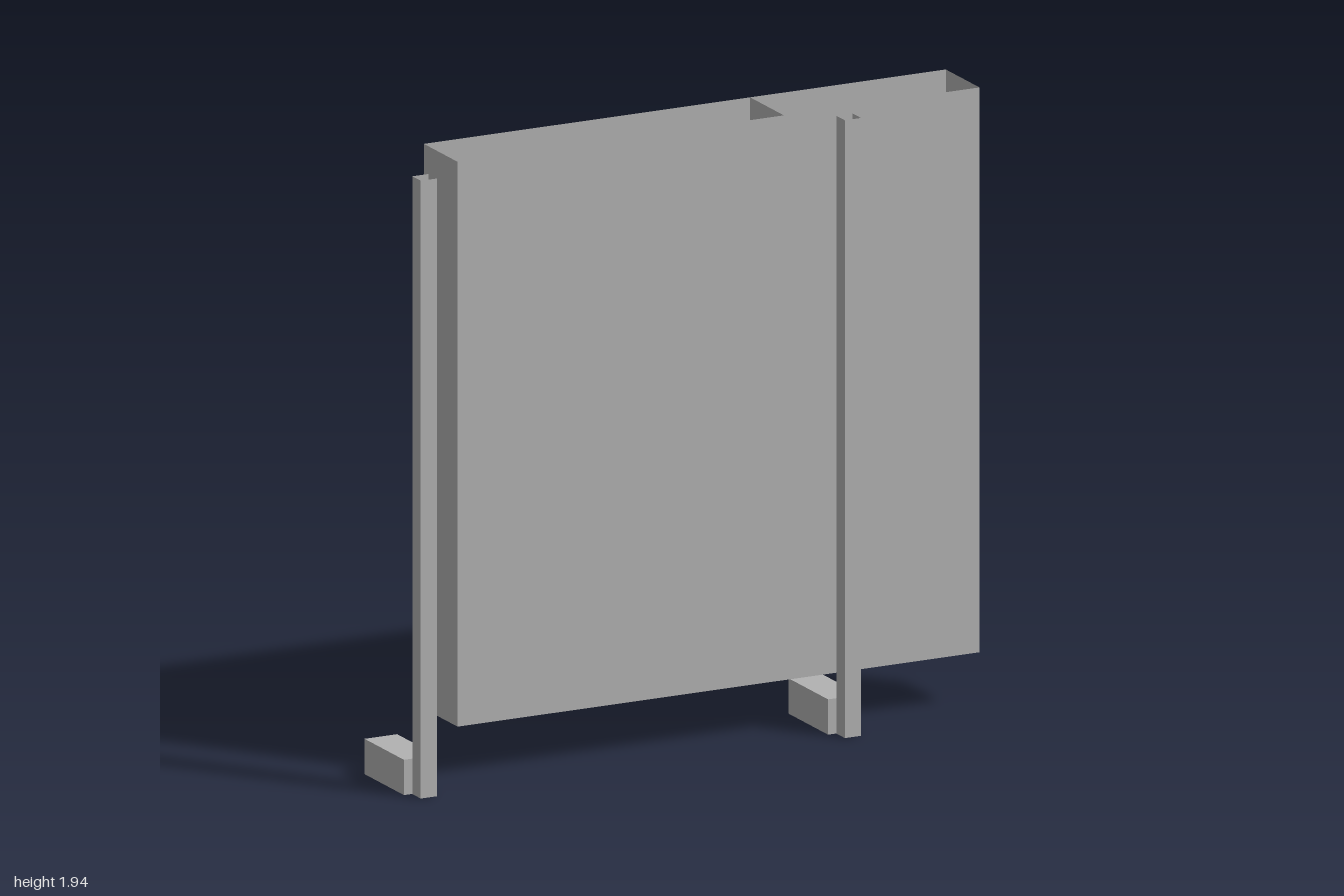
import * as THREE from 'three';

const U = 2 / 9; // base module of the layout

const grey = new THREE.MeshStandardMaterial({ color: 0xb2b2b2, side: THREE.DoubleSide });
grey.name = 'plain grey';

// Box between two corners; openTop leaves out its upper face
function box(name, [x0, y0, z0], [x1, y1, z1], openTop = false) {
  const geometry = new THREE.BoxGeometry(x1 - x0, y1 - y0, z1 - z0);
  if (openTop) {
    const index = Array.from(geometry.index.array);
    index.splice(12, 6); // the +y face
    geometry.setIndex(index);
    geometry.clearGroups();
  }
  geometry.translate((x0 + x1) / 2, (y0 + y1) / 2, (z0 + z1) / 2);
  const mesh = new THREE.Mesh(geometry, grey);
  mesh.name = name;
  return mesh;
}

export function createModel() {
  const model = new THREE.Group();
  model.name = 'panelWithPosts';

  const top = 8.75 * U, bottom = 0.75 * U;
  const back = -0.8 * U, front = 0.2 * U;

  // Thin-walled panel, open at the top
  model.add(box('panel', [1 - 8 * U, bottom, back], [1, top, front], true));

  // Upright sheet dividing the panel
  const divider = new THREE.Mesh(new THREE.PlaneGeometry(front - back, top - bottom), grey);
  divider.name = 'divider';
  divider.rotation.y = Math.PI / 2;
  divider.position.set(1 / 3, (top + bottom) / 2, (front + back) / 2);
  model.add(divider);

  // Two hollow posts, each with a foot reaching backwards
  for (const [side, x] of [['right', -1 + U / 4], ['left', 0.5]]) {
    const support = new THREE.Group();
    support.name = side + 'Support';
    support.add(
      box('post', [x - U / 8, 0, 0.55 * U], [x + U / 8, top, 0.8 * U], true),
      box('foot', [x - U / 4, 0, -0.625 * U], [x + U / 4, U / 2, 0.545 * U])
    );
    model.add(support);
  }

  return model;
}
